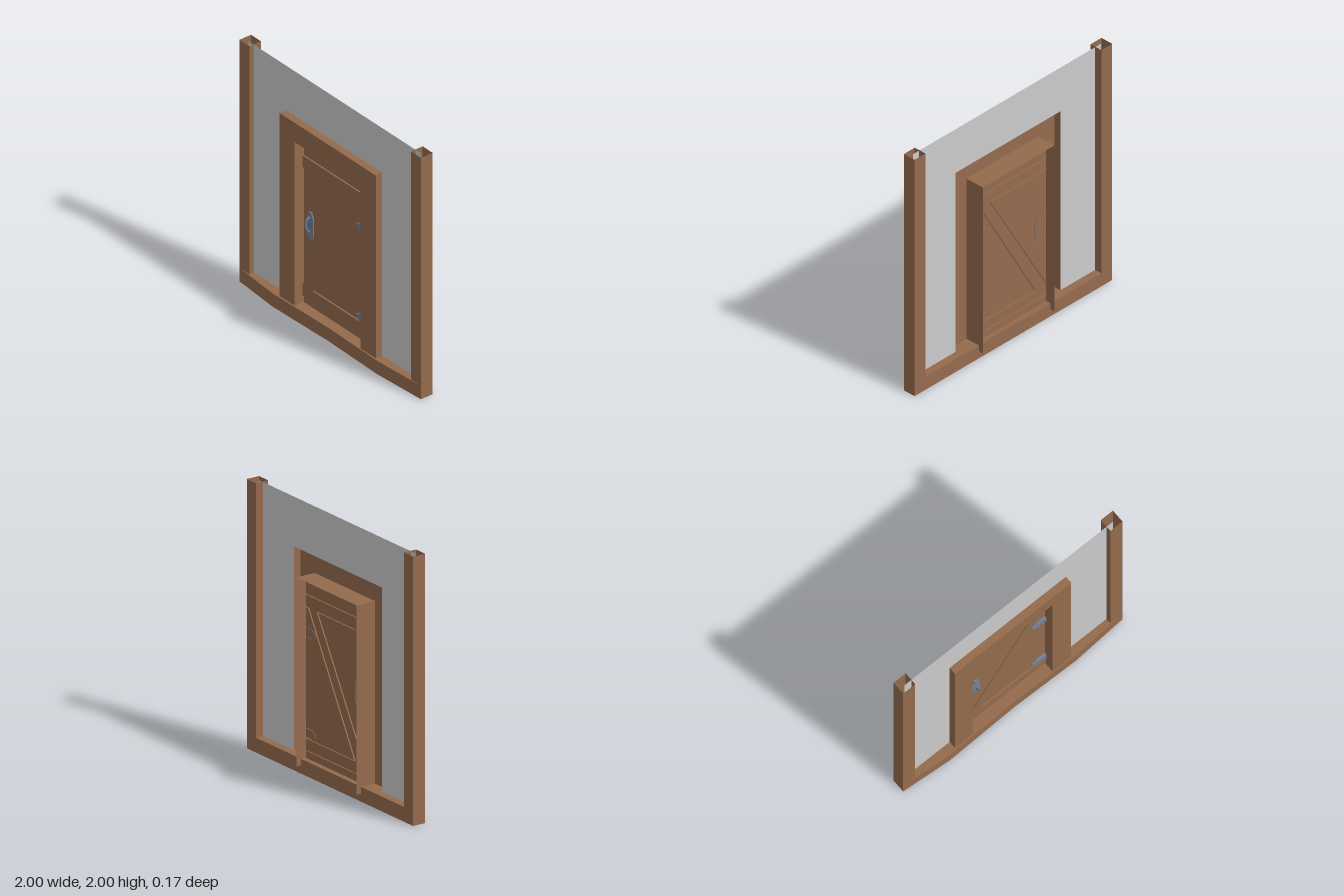
import * as THREE from 'three';
import { mergeGeometries } from 'three/addons/utils/BufferGeometryUtils.js';

const paint = (color) => new THREE.MeshStandardMaterial({ color, side: THREE.DoubleSide, flatShading: true });
const wood = paint(0x946b4d);
const iron = paint(0x747f96);
const plaster = paint(0xcccccc);

const toPoints = (list) => list.map(([x, y]) => new THREE.Vector2(x, y));
const rect = (x0, y0, x1, y1) => [[x0, y0], [x1, y0], [x1, y1], [x0, y1]];

// Walls standing on a counter-clockwise outline, from z0 to z1
function walls(outline, z0, z1, closed = true) {
  const pos = [];
  const count = closed ? outline.length : outline.length - 1;
  for (let i = 0; i < count; i++) {
    const [ax, ay] = outline[i];
    const [bx, by] = outline[(i + 1) % outline.length];
    pos.push(ax, ay, z0, bx, by, z0, bx, by, z1, ax, ay, z0, bx, by, z1, ax, ay, z1);
  }
  const g = new THREE.BufferGeometry();
  g.setAttribute('position', new THREE.Float32BufferAttribute(pos, 3));
  g.computeVertexNormals();
  return g;
}

// Flat sheet at depth z, with optional hole
function sheet(outline, z, hole) {
  const shape = new THREE.Shape(toPoints(outline));
  if (hole) shape.holes.push(new THREE.Path(toPoints(hole)));
  const g = new THREE.ShapeGeometry(shape).toNonIndexed();
  g.deleteAttribute('uv');
  return g.translate(0, 0, z);
}

// Open-backed relief: walls plus a front face
const relief = (outline, z0, z1, hole) => mergeGeometries([walls(outline, z0, z1), sheet(outline, z1, hole)]);

export function createModel() {
  const model = new THREE.Group();
  const add = (name, geometry, material) => {
    const mesh = new THREE.Mesh(geometry, material);
    mesh.name = name;
    model.add(mesh);
    return mesh;
  };

  const frameOuter = rect(-0.54, 0.11, 0.52, 1.625);
  const opening = rect(-0.375, 0.11, 0.35, 1.465);
  const doorZ = -0.01;

  // Plaster wall, cut out behind the door frame
  add('wall', sheet(rect(-0.95, 0.05, 0.95, 1.995), 0.012, frameOuter), plaster);

  // Hollow corner posts, open at the top
  for (const side of [-1, 1]) {
    const post = walls(rect(-0.055, -0.055, 0.055, 0.05), 0.11, 2).rotateX(-Math.PI / 2);
    add(side < 0 ? 'rightPost' : 'leftPost', post.translate(side * 0.945, 0, 0), wood);
  }

  // Sill beam with a gently bulging front edge
  const plan = [[-1, 0.05], [-1, -0.055], [-0.6, -0.087], [0, -0.072], [0.55, -0.083], [1, -0.055], [1, 0.05]];
  const sill = new THREE.ExtrudeGeometry(new THREE.Shape(toPoints(plan)), { depth: 0.11, bevelEnabled: false });
  add('sillBeam', sill.rotateX(-Math.PI / 2), wood);

  // Door frame: front face and outer walls, open at the back
  add('doorFrame', relief(frameOuter, 0.012, 0.07, opening), wood);

  // Jamb lining through the wall (sides and top)
  const lining = [[0.35, 0.06], [0.35, 1.465], [-0.375, 1.465], [-0.375, 0.06]];
  add('doorJamb', walls(lining, -0.088, 0.07, false), wood);

  // Door leaf
  add('doorLeaf', sheet(rect(-0.37, 0.06, 0.346, 1.463), doorZ), wood);

  // Z-shaped ledge and brace
  const brace = [
    [-0.37, 0.17], [0.345, 0.17], [0.345, 0.26], [-0.255, 0.26], [0.305, 1.235], [0.345, 1.235],
    [0.345, 1.33], [-0.37, 1.33], [-0.37, 1.235], [0.2, 1.235], [-0.37, 0.26],
  ];
  add('doorBrace', relief(brace, doorZ - 0.01, doorZ + 0.012), wood);

  // Strap hinges with pointed ends
  for (const [name, y] of [['lowerHinge', 0.3], ['upperHinge', 1.047]]) {
    const strap = [
      [0.345, y - 0.034], [0.345, y + 0.034], [0.27, y + 0.034], [0.25, y + 0.022],
      [0.225, y + 0.012], [0.225, y - 0.012], [0.25, y - 0.022], [0.27, y - 0.034],
    ];
    add(name, relief(strap, doorZ - 0.004, doorZ + 0.018), iron);
  }

  // Handle plate with stepped, tapered ends
  const half = [[0.014, -0.115], [0.022, -0.09], [0.034, -0.07], [0.034, 0.07], [0.022, 0.09], [0.014, 0.115]];
  const plate = [...half, ...half.map(([x, y]) => [-x, -y])].map(([x, y]) => [x - 0.29, y + 0.78]);
  add('handlePlate', relief(plate, doorZ - 0.004, doorZ + 0.01), iron);

  // Curved pull handle
  const pull = new THREE.CatmullRomCurve3([
    [0.855, 0.0], [0.85, 0.025], [0.81, 0.038], [0.765, 0.028], [0.73, 0.0],
  ].map(([y, z]) => new THREE.Vector3(-0.29, y, z)));
  add('pullHandle', new THREE.TubeGeometry(pull, 10, 0.008, 6), iron);

  return model;
}
